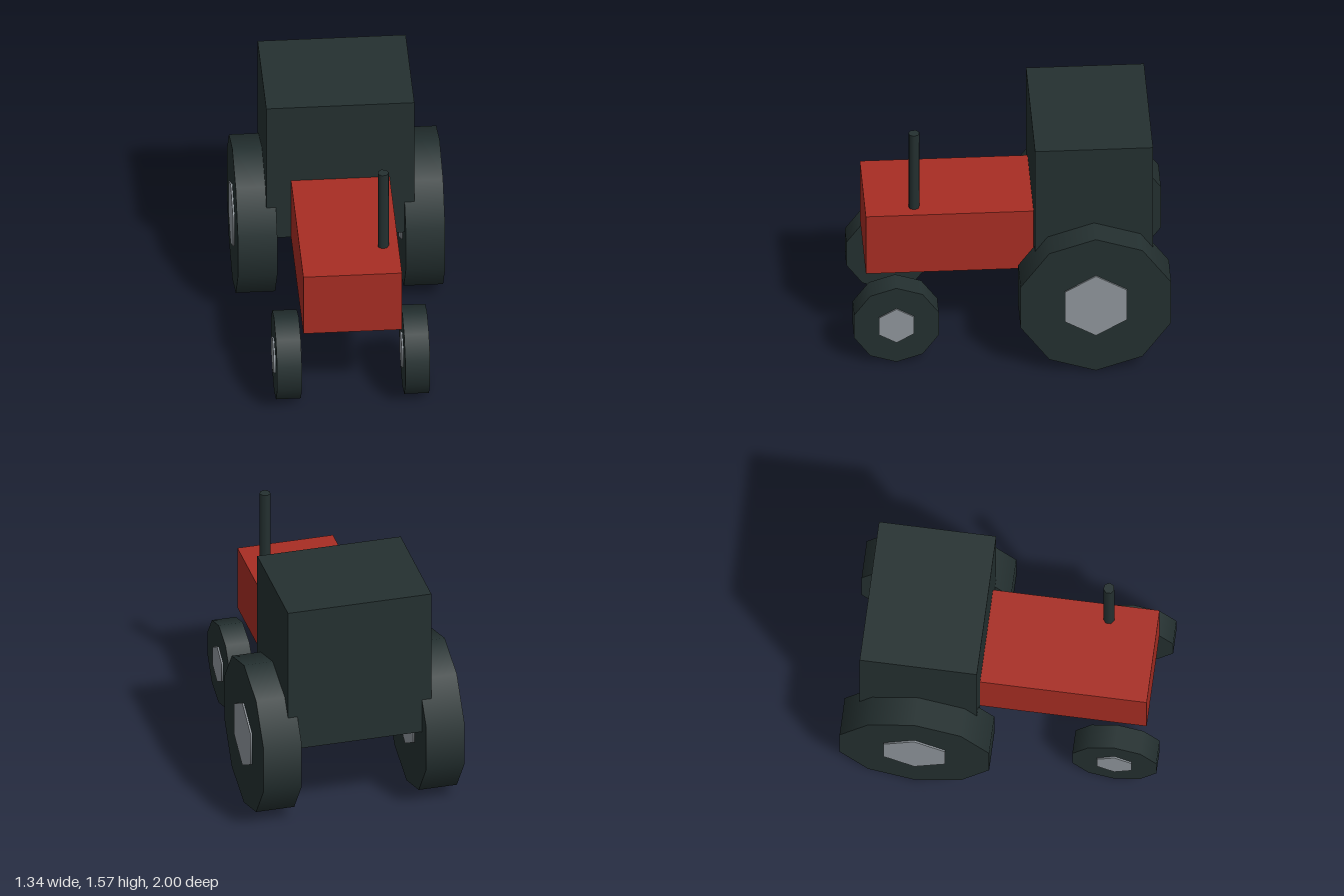
import * as THREE from 'three';

const paint = (name, color) => {
  const m = new THREE.MeshStandardMaterial({ color });
  m.name = name;
  return m;
};

export function createModel() {
  const red = paint('red paint', 0xa82d23);
  const dark = paint('dark rubber', 0x243030);
  const grey = paint('grey metal', 0x8f969c);
  const tractor = new THREE.Group();
  tractor.name = 'tractor';

  const add = (parent, name, geometry, material, x, y, z) => {
    const mesh = new THREE.Mesh(geometry, material);
    mesh.name = name;
    mesh.position.set(x, y, z);
    parent.add(mesh);
  };

  // Prism with its first corner towards +x
  const prism = (radius, length, sides) =>
    new THREE.CylinderGeometry(radius, radius, length, sides, 1, false, Math.PI / 2);

  // Body
  add(tractor, 'hood', new THREE.BoxGeometry(0.626, 0.437, 1.065), red, 0, 0.784, 0.383);
  add(tractor, 'cab', new THREE.BoxGeometry(0.94, 1.0, 0.748), dark, 0, 1.066, -0.522);
  add(tractor, 'exhaustPipe', prism(0.036, 0.57, 7), dark, 0.216, 1.281, 0.605);

  // Ten-sided tyres, each with a hexagonal hub passing right through
  const wheels = [
    { name: 'front', x: 0.407, z: 0.732, radius: 0.282, width: 0.157, hub: 0.128, hubWidth: 0.178 },
    { name: 'rear', x: 0.533, z: -0.522, radius: 0.502, width: 0.25, hub: 0.227, hubWidth: 0.272 },
  ];
  for (const w of wheels) {
    for (const side of [1, -1]) {
      const wheel = new THREE.Group();
      wheel.name = w.name + (side > 0 ? 'LeftWheel' : 'RightWheel');
      wheel.position.set(side * w.x, w.radius, w.z);
      add(wheel, 'tyre', prism(w.radius, w.width, 10).rotateZ(Math.PI / 2), dark, 0, 0, 0);
      add(wheel, 'hub', prism(w.hub, w.hubWidth, 6).rotateZ(Math.PI / 2), grey, 0, 0, 0);
      tractor.add(wheel);
    }
  }
  return tractor;
}
